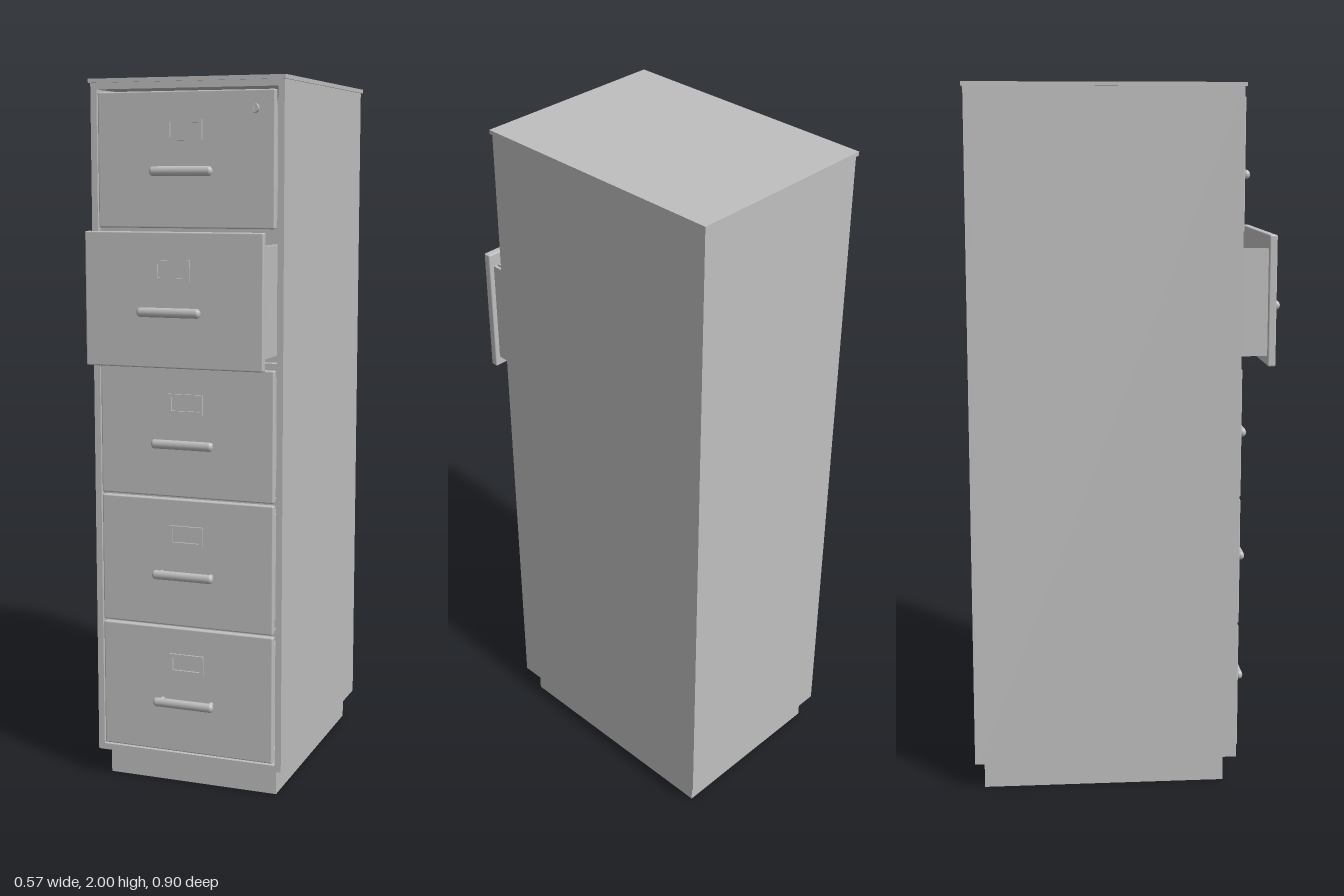
import * as THREE from 'three';
import { RoundedBoxGeometry } from 'three/addons/geometries/RoundedBoxGeometry.js';

const steel = new THREE.MeshStandardMaterial({ color: 0xbfbfbf });
steel.name = 'grey steel';

function add(parent, name, geometry, x = 0, y = 0, z = 0) {
  const mesh = new THREE.Mesh(geometry, steel);
  mesh.name = name;
  mesh.position.set(x, y, z);
  parent.add(mesh);
  return mesh;
}

// Box given by its limits on each axis
function box(parent, name, [x0, x1], [y0, y1], [z0, z1]) {
  return add(parent, name, new THREE.BoxGeometry(x1 - x0, y1 - y0, z1 - z0),
    (x0 + x1) / 2, (y0 + y1) / 2, (z0 + z1) / 2);
}

function rectPath(path, w, h) {
  path.moveTo(-w, -h);
  path.lineTo(w, -h);
  path.lineTo(w, h);
  path.lineTo(-w, h);
  path.closePath();
  return path;
}

// Pull bar on two posts, with its origin on the drawer face
function createHandle() {
  const handle = new THREE.Group();
  handle.name = 'handle';
  const bar = add(handle, 'handleBar', new THREE.CapsuleGeometry(0.01, 0.162, 6, 16), 0, 0, 0.031);
  bar.rotation.z = Math.PI / 2;
  bar.scale.x = 1.3;
  for (const side of [-1, 1]) {
    const post = add(handle, 'handlePost', new THREE.CylinderGeometry(0.007, 0.007, 0.032, 14), side * 0.074, 0, 0.015);
    post.rotation.x = Math.PI / 2;
  }
  return handle;
}

// Open frame that holds a label card
function createLabelHolder() {
  const shape = rectPath(new THREE.Shape(), 0.051, 0.028);
  shape.holes.push(rectPath(new THREE.Path(), 0.041, 0.019));
  const geometry = new THREE.ExtrudeGeometry(shape, { depth: 0.006, bevelEnabled: false });
  const mesh = new THREE.Mesh(geometry, steel);
  mesh.name = 'labelHolder';
  return mesh;
}

// Drawer with its origin at the centre of the front panel's outer face
function createDrawer() {
  const drawer = new THREE.Group();
  drawer.name = 'drawer';
  add(drawer, 'drawerFront', new RoundedBoxGeometry(0.512, 0.366, 0.022, 2, 0.004), 0, 0, -0.011);
  const handle = createHandle();
  handle.position.y = -0.03;
  const label = createLabelHolder();
  label.position.y = 0.08;
  drawer.add(handle, label);

  // Tray behind the front, with slide rails along its sides
  box(drawer, 'drawerFloor', [-0.235, 0.235], [-0.155, -0.148], [-0.7, -0.02]);
  box(drawer, 'drawerBack', [-0.22, 0.22], [-0.15, 0.12], [-0.7, -0.69]);
  box(drawer, 'followerPlate', [-0.215, 0.21], [-0.148, 0.08], [-0.058, -0.054]);
  for (const s of [-1, 1]) {
    const span = (a, b) => [Math.min(s * a, s * b), Math.max(s * a, s * b)];
    box(drawer, 'drawerSide', span(0.217, 0.226), [-0.15, 0.145], [-0.7, -0.02]);
    box(drawer, 'drawerOuterSide', span(0.234, 0.242), [-0.155, 0.145], [-0.7, -0.02]);
  }
  return drawer;
}

export function createModel() {
  const model = new THREE.Group();
  model.name = 'filingCabinet';

  // Plinth and outer shell
  box(model, 'plinth', [-0.255, 0.255], [0, 0.082], [-0.42, 0.275]);
  box(model, 'topPlate', [-0.285, 0.285], [1.989, 2], [-0.452, 0.315]);
  box(model, 'bottomPanel', [-0.262, 0.262], [0.08, 0.098], [-0.435, 0.31]);
  box(model, 'topRail', [-0.262, 0.262], [1.971, 1.989], [-0.435, 0.31]);
  box(model, 'backPanel', [-0.28, 0.28], [0.08, 1.989], [-0.447, -0.435]);
  for (const s of [-1, 1]) {
    add(model, 'sidePanel', new THREE.BoxGeometry(0.018, 1.909, 0.745), s * 0.271, 1.0345, -0.0625);
  }

  // Five drawers; the second from the top is pulled out a little
  const pitch = 0.373;
  for (let i = 0; i < 5; i++) {
    const drawer = createDrawer();
    drawer.position.set(0, 1.78 - i * pitch, i === 1 ? 0.41 : 0.317);
    model.add(drawer);
    if (i < 4) {
      const y = 1.78 - (i + 0.5) * pitch;
      box(model, 'crossRail', [-0.262, 0.262], [y - 0.014, y + 0.014], [0.27, 0.293]);
    }
  }

  // Lock in the top drawer
  const lock = add(model, 'lock', new THREE.CylinderGeometry(0.013, 0.013, 0.014, 24), 0.2, 1.914, 0.323);
  lock.rotation.x = Math.PI / 2;
  box(model, 'lockSlot', [0.1985, 0.2015], [1.907, 1.921], [0.33, 0.332]);

  return model;
}
